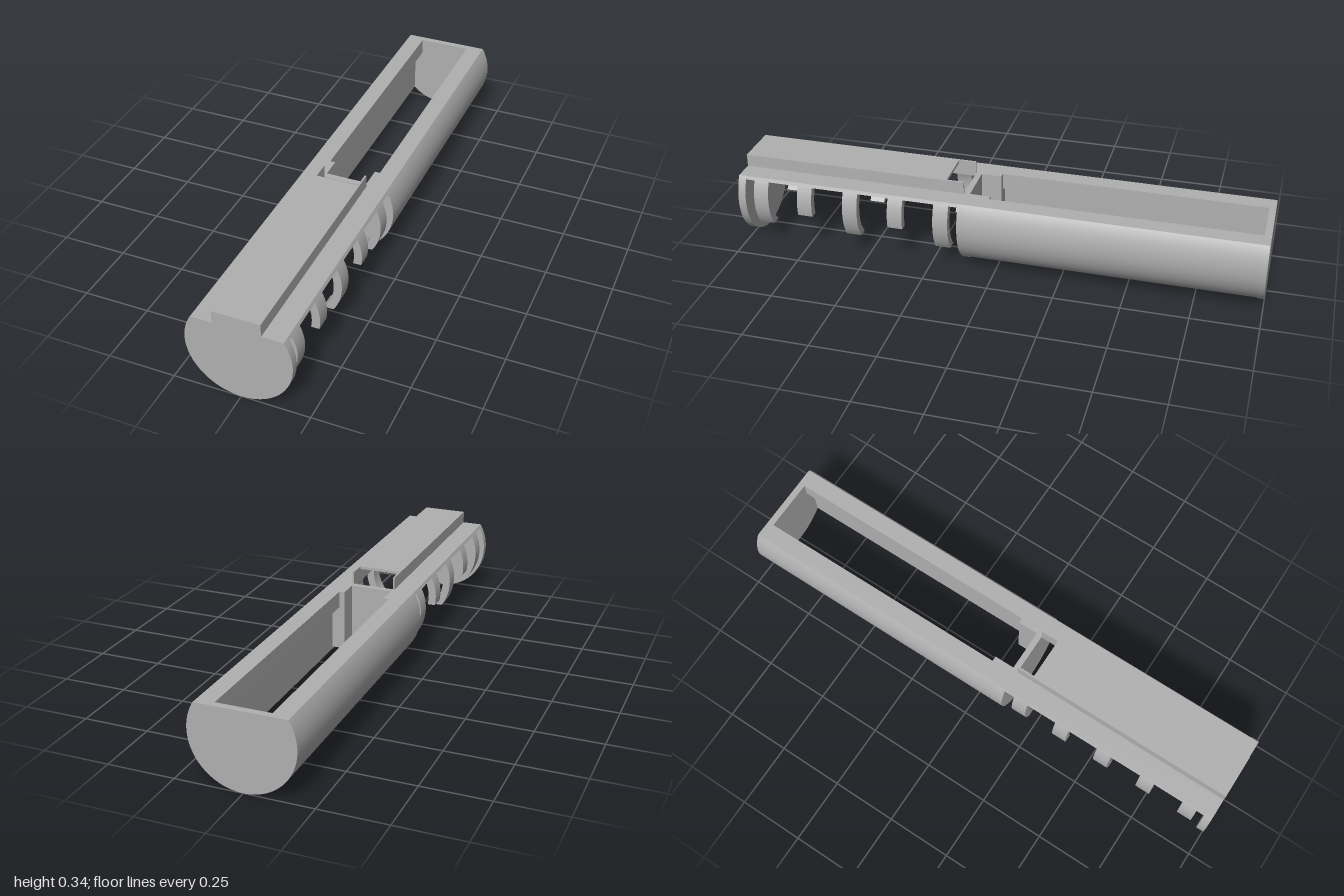
import * as THREE from 'three';
import { toCreasedNormals } from 'three/addons/utils/BufferGeometryUtils.js';

const R = 0.193;        // outer radius, also the height of the axis
const FLAT = 0.293;     // height of the flat top
const TOP = 0.341;      // height of the raised cover
const MID = 0.13;       // where the cradle meets the ribbed half

export function createModel() {
  const model = new THREE.Group();
  const grey = new THREE.MeshStandardMaterial({ color: 0xb0b0b0 });
  grey.name = 'grey plastic';

  // Points on a circle around the axis from height y0 to y1 on the +x side
  const arc = (r, y0, y1, n = 24) => {
    const a0 = Math.asin((y0 - R) / r), a1 = Math.asin((y1 - R) / r);
    return Array.from({ length: n + 1 }, (_, i) => {
      const a = a0 + (a1 - a0) * i / n;
      return [r * Math.cos(a), R + r * Math.sin(a)];
    });
  };
  const mirror = (pts) => pts.map(([x, y]) => [-x, y]);

  // Extrude a cross-section between two z positions
  const add = (name, pts, z0, z1) => {
    const shape = new THREE.Shape(pts.map(([x, y]) => new THREE.Vector2(x, y)));
    const geo = new THREE.ExtrudeGeometry(shape, { depth: z1 - z0, bevelEnabled: false });
    geo.translate(0, 0, z0);
    const mesh = new THREE.Mesh(toCreasedNormals(geo, 0.5), grey);
    mesh.name = name;
    model.add(mesh);
  };
  const addPair = (name, pts, z0, z1) => {
    add('left' + name, pts, z0, z1);
    add('right' + name, mirror(pts), z0, z1);
  };

  // Round end plates and divider with a flat top
  const side = arc(R, 0, FLAT, 40);
  const disc = [...side, ...mirror(side).reverse().slice(0, -1)];
  add('backPlate', disc, -1, -0.975);
  add('dividerPlate', disc, 0.108, MID);
  const b = 0.087;
  add('frontPlate', [...side, [b, FLAT], [b, TOP], [-b, TOP], [-b, FLAT],
    ...mirror(side).reverse().slice(0, -1)], 0.97, 1);

  // Cradle walls with an overhanging lip, open at top and bottom
  addPair('CradleWall', [...arc(R, 0.051, FLAT), [0.1, FLAT], [0.1, 0.23], [0.13, 0.23]], -0.975, 0.108);

  // Posts beside the divider
  addPair('Post', [[0.08, 0.06], [0.131, 0.06], [0.131, 0.285], [0.101, 0.285],
    [0.101, FLAT], [0.08, FLAT]], 0.03, 0.108);

  // Deck with a raised hollow cover, notched next to the divider
  const half = [[0.08, 0.281], [0.171, 0.281], [0.165, FLAT], [b, FLAT], [b, TOP]];
  add('deckCover', [...half, ...mirror(half).reverse(), [-0.08, 0.33], [0.08, 0.33]], 0.197, 0.97);
  addPair('NotchSide', [...half, [0.08, TOP]], MID, 0.197);

  // Curved ribs, alternately long and short
  [0.197, 0.375, 0.553, 0.735, 0.911].forEach((z, i) => {
    const low = i % 2 ? 0.16 : 0.089;
    addPair('Rib' + (i + 1), [...arc(0.182, low, 0.283, 16),
      ...arc(0.152, low, 0.283, 16).reverse()], z - 0.029, z + 0.029);
  });

  return model;
}
